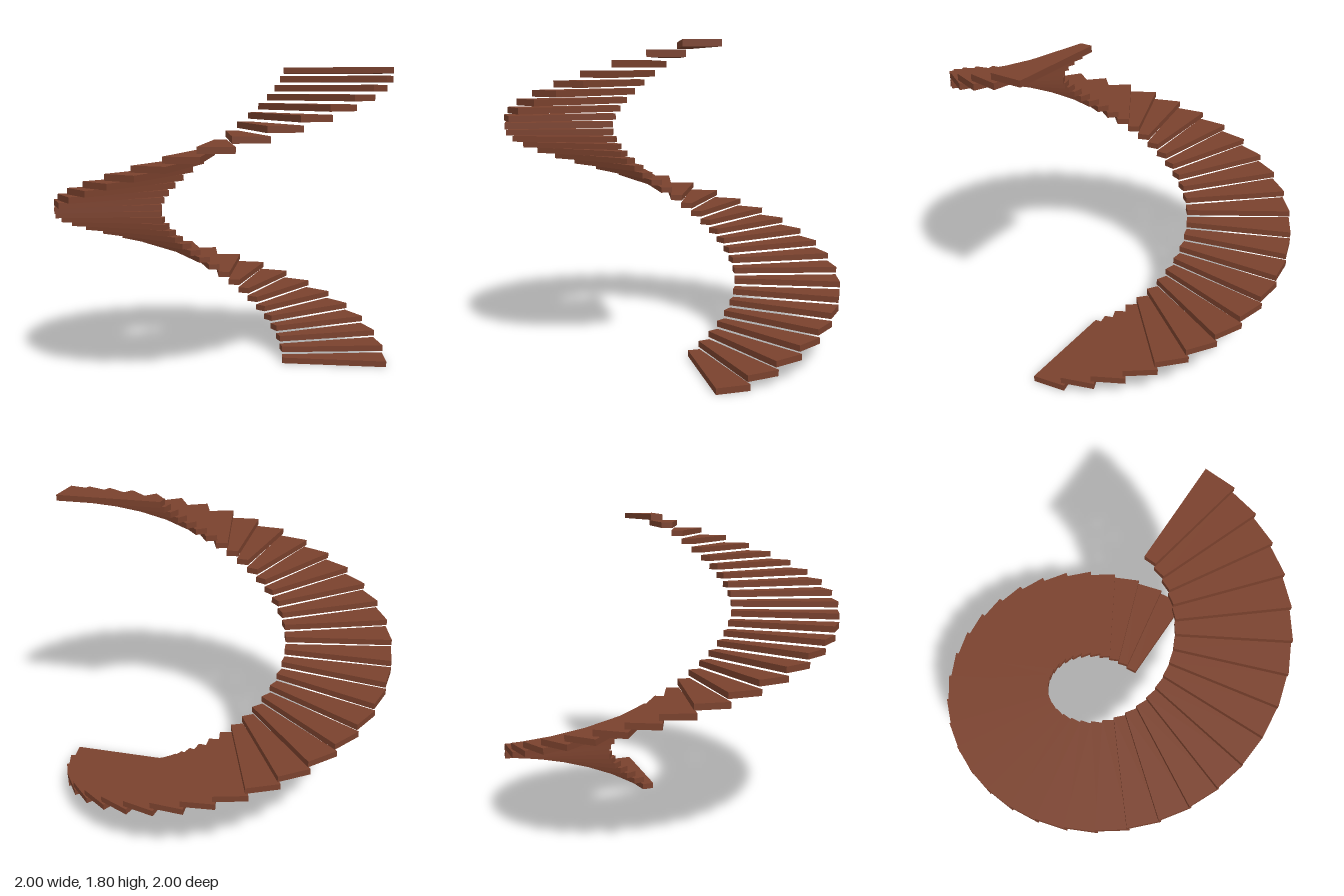
import * as THREE from 'three';

const STEPS = 36;
const TURN = (Math.PI * 2) / STEPS; // rotation from one tread to the next
const HALF = THREE.MathUtils.degToRad(5.5); // half the angle a tread covers
const INNER = 0.372;
const OUTER = 1.003;
const RISE = 0.0503;
const THICKNESS = 0.035;

// Wedge-shaped tread with straight inner and outer edges, lying flat
function treadGeometry() {
  const c = Math.cos(HALF), s = Math.sin(HALF);
  const shape = new THREE.Shape([
    new THREE.Vector2(INNER * c, -INNER * s),
    new THREE.Vector2(OUTER * c, -OUTER * s),
    new THREE.Vector2(OUTER * c, OUTER * s),
    new THREE.Vector2(INNER * c, INNER * s),
  ]);
  const geometry = new THREE.ExtrudeGeometry(shape, { depth: THICKNESS, bevelEnabled: false });
  return geometry.rotateX(-Math.PI / 2);
}

export function createModel() {
  const group = new THREE.Group();
  group.name = 'spiralStaircase';
  const wood = new THREE.MeshStandardMaterial({ color: 0x7a412d });
  wood.name = 'brown wood';
  const geometry = treadGeometry();

  // One full turn of floating treads, climbing from +x towards the back
  for (let i = 0; i < STEPS; i++) {
    const tread = new THREE.Mesh(geometry, wood);
    tread.name = `tread${i + 1}`;
    tread.position.y = i * RISE;
    tread.rotation.y = i * TURN;
    group.add(tread);
  }
  return group;
}
